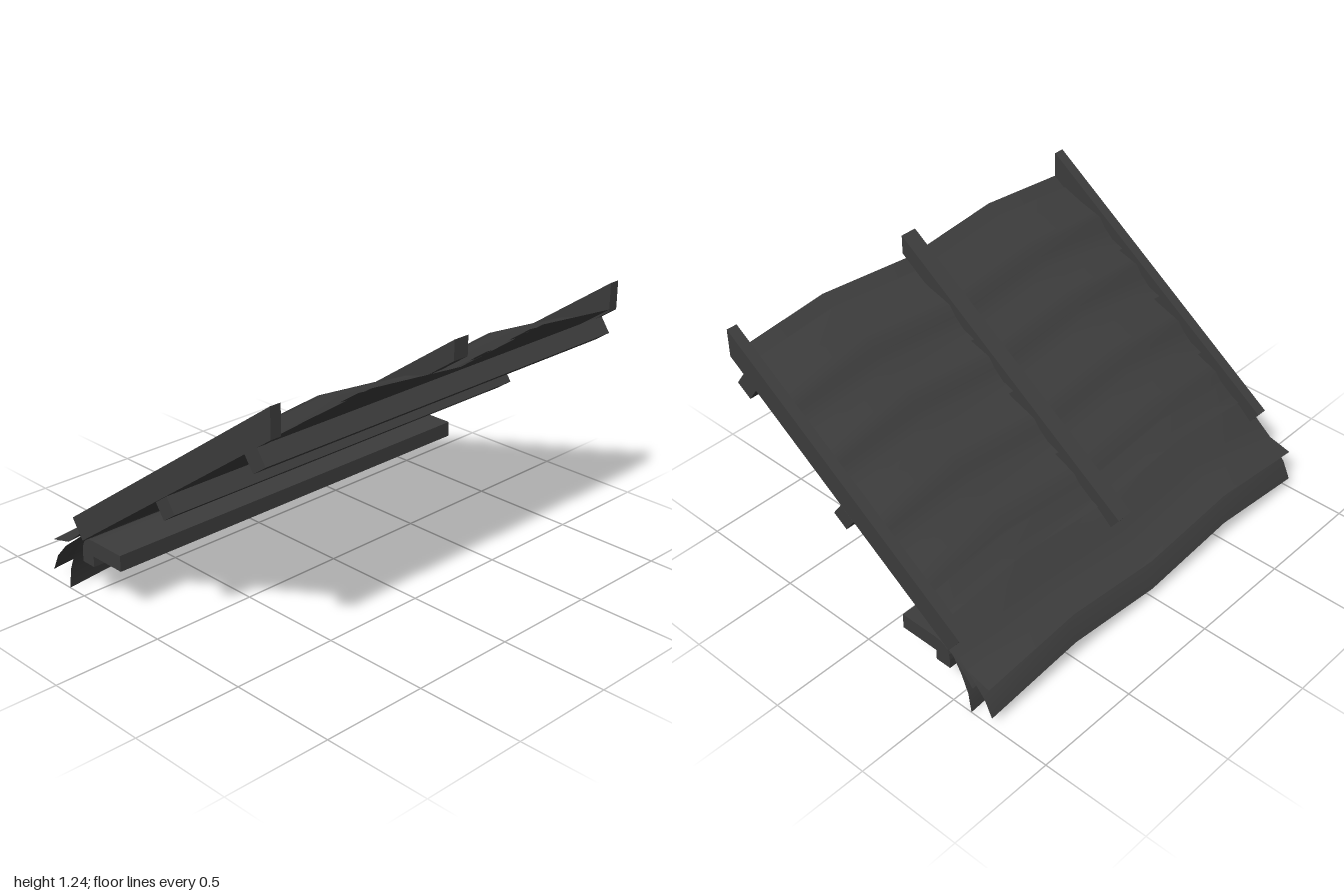
import * as THREE from 'three';

const SLOPE = 0.703;
const ANGLE = Math.atan(SLOPE);
const RIGHT = 0.713;
// height of the roof's underside at x
const roofY = (x) => 1.12 + SLOPE * (x - RIGHT);

const timber = new THREE.MeshStandardMaterial({ color: 0x3c3c3c, flatShading: true });
const cover = new THREE.MeshStandardMaterial({ color: 0x3c3c3c, side: THREE.DoubleSide });

export function createModel() {
  const model = new THREE.Group();

  function add(name, geometry, material = timber) {
    const mesh = new THREE.Mesh(geometry, material);
    mesh.name = name;
    model.add(mesh);
    return mesh;
  }

  // prism with an x-y outline, centred on z
  function prism(name, shape, width, z) {
    const geometry = new THREE.ExtrudeGeometry(shape, { depth: width, bevelEnabled: false, curveSegments: 5 });
    geometry.translate(0, 0, z - width / 2);
    return add(name, geometry);
  }

  // thin covering: an x-y profile swept along z, sagging at the rafters
  function sheet(name, profile) {
    const zs = [-1, -0.5, 0, 0.5, 1];
    const n = zs.length;
    const positions = [];
    const index = [];
    profile.forEach(([x, y], i) => {
      zs.forEach((z, j) => {
        positions.push(x, y + (j % 2 ? 0.05 : 0), z);
        if (i && j) {
          const d = i * n + j, c = d - 1, b = d - n, a = b - 1;
          index.push(a, c, b, b, c, d);
        }
      });
    });
    const geometry = new THREE.BufferGeometry();
    geometry.setAttribute('position', new THREE.Float32BufferAttribute(positions, 3));
    geometry.setIndex(index);
    geometry.computeVertexNormals();
    add(name, geometry, cover);
  }

  // sloping rafters, plumb cut at the top and square cut at the eave
  function rafter(name, z, width, height) {
    const top = (x) => 0.36 + SLOPE * (x + 0.545);
    const foot = -0.545 + height * Math.sin(ANGLE) * Math.cos(ANGLE);
    prism(name, new THREE.Shape([
      new THREE.Vector2(-0.545, 0.36),
      new THREE.Vector2(foot, top(foot) - height),
      new THREE.Vector2(RIGHT, top(RIGHT) - height),
      new THREE.Vector2(RIGHT, top(RIGHT)),
    ]), width, z);
  }
  rafter('leftRafter', 0.975, 0.05, 0.13);
  rafter('rightRafter', -0.975, 0.05, 0.13);
  rafter('middleRafter', 0, 0.08, 0.09);

  // square purlins under the rafters
  for (const [name, x, y] of [['upperPurlin', 0.627, 1.007], ['lowerPurlin', 0.091, 0.626]]) {
    const purlin = add(name, new THREE.BoxGeometry(0.085, 0.08, 2));
    purlin.position.set(x, y, 0);
    purlin.rotation.z = ANGLE;
  }

  // flat lining between the side rafters, from the eave to the upper purlin
  const low = -0.47, high = 0.6;
  const lining = add('lining', new THREE.PlaneGeometry((high - low) / Math.cos(ANGLE), 1.9), cover);
  lining.position.set((low + high) / 2, roofY((low + high) / 2) - 0.003, 0);
  lining.rotation.set(-Math.PI / 2, ANGLE, 0, 'ZYX');
  lining.rotation.set(-Math.PI / 2, 0, 0);
  lining.rotateOnWorldAxis(new THREE.Vector3(0, 0, 1), ANGLE);

  // rounded angle rail below the eave
  const rail = new THREE.Shape();
  rail.moveTo(-0.225, 0.225);
  rail.lineTo(-0.225, 0.298);
  rail.lineTo(-0.41, 0.298);
  rail.quadraticCurveTo(-0.487, 0.298, -0.487, 0.22);
  rail.lineTo(-0.487, 0.175);
  rail.lineTo(-0.412, 0.175);
  rail.lineTo(-0.412, 0.225);
  prism('eaveRail', rail, 2, 0);

  // bottom layer, running from the top edge to the drooping eave
  sheet('baseCover', [
    [RIGHT, roofY(RIGHT)], [-0.46, roofY(-0.46)], [-0.51, 0.255],
    [-0.55, 0.185], [-0.585, 0.1], [-0.6, 0.002],
  ]);

  // overlapping courses: [distance up the slope from the lower edge, lift]
  const course = [[0, 0.075], [0.06, 0.055], [0.11, 0.065], [0.14, 0.088], [0.18, 0.073], [0.26, 0.04], [0.36, 0.008]];
  [[0.29, 1], [0.06, 1], [-0.2, 0.85], [-0.43, 0.7]].forEach(([edge, scale], i) => {
    sheet('coverCourse' + (i + 1), course.map(([d, lift]) => {
      const x = edge + d;
      return [x, roofY(x) + lift * scale];
    }).reverse());
  });

  // fringe layers fanning out at the eave
  const fringes = [
    [[-0.25, roofY(-0.25) + 0.045], [-0.44, 0.352], [-0.52, 0.283], [-0.59, 0.228], [-0.7, 0.2]],
    [[-0.25, roofY(-0.25) + 0.03], [-0.45, 0.326], [-0.53, 0.262], [-0.61, 0.202], [-0.675, 0.132], [-0.714, 0.05]],
    [[-0.25, roofY(-0.25) + 0.015], [-0.47, 0.297], [-0.53, 0.24], [-0.575, 0.19], [-0.61, 0.145]],
  ];
  fringes.forEach((profile, i) => sheet('eaveFringe' + (i + 1), profile));

  return model;
}
